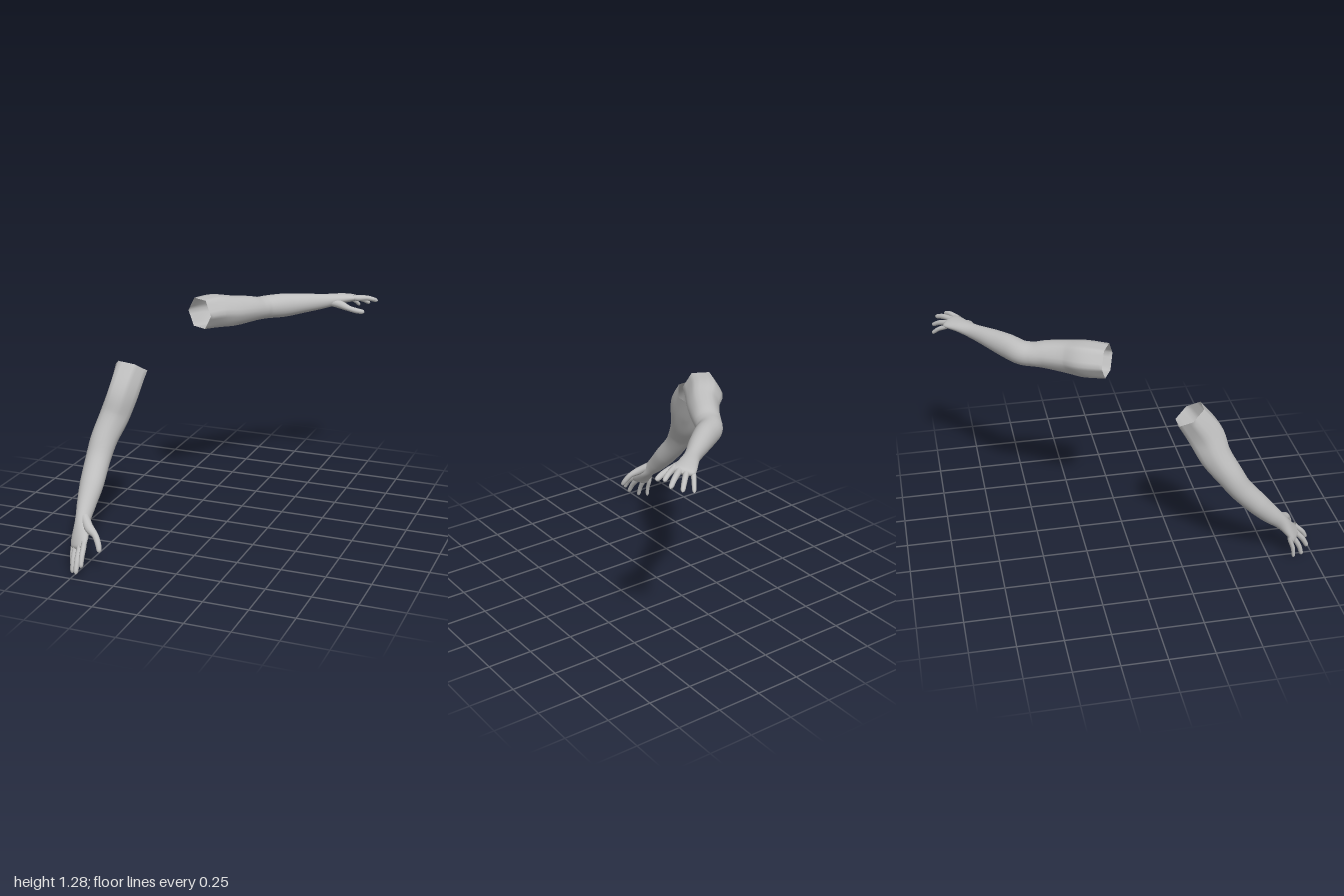
import * as THREE from 'three';

const V = (a) => new THREE.Vector3(a[0], a[1], a[2]);

// Sweeps an elliptical section along stations [x, y, z, halfAcross, halfThick].
// across0 -> across1 is the direction of the section's first axis; the end is rounded over
// the last part of the path; hex > 0 makes the open start six-sided.
function sweep(stations, across0, across1, { rings, sides, cap, hex = 0 }) {
  const path = new THREE.CatmullRomCurve3(stations.map(V));
  const size = new THREE.CatmullRomCurve3(stations.map((s) => new THREE.Vector3(s[3], s[4], 0)));
  const pos = [], index = [];
  for (let i = 0; i <= rings; i++) {
    const s = i / rings;
    const c = path.getPoint(s), r = size.getPoint(s), t = path.getTangent(s);
    const u = V(across0).normalize().lerp(V(across1).normalize(), s * s);
    u.addScaledVector(t, -u.dot(t)).normalize();
    const v = t.clone().cross(u);
    const k = s > 1 - cap ? Math.sqrt(Math.max(0, 1 - ((s - 1 + cap) / cap) ** 2)) : 1;
    const w = hex * Math.max(0, 1 - s * 3);
    for (let j = 0; j < sides; j++) {
      const a = (j / sides) * Math.PI * 2;
      const facet = 1.04 * Math.cos(Math.PI / 6) / Math.cos((a % (Math.PI / 3)) - Math.PI / 6);
      const m = k * (1 + w * (facet - 1));
      const p = c.clone().addScaledVector(u, Math.cos(a) * r.x * m).addScaledVector(v, Math.sin(a) * r.y * m);
      pos.push(p.x, p.y, p.z);
      if (i < rings) {
        const n = (j + 1) % sides, b = i * sides;
        index.push(b + j, b + n, b + sides + n, b + j, b + sides + n, b + sides + j);
      }
    }
  }
  const g = new THREE.BufferGeometry();
  g.setAttribute('position', new THREE.Float32BufferAttribute(pos, 3));
  g.setIndex(index);
  g.computeVertexNormals();
  return g;
}

function buildArm(name, spec, material) {
  const arm = new THREE.Group();
  arm.name = name;
  const add = (part, geometry) => {
    const mesh = new THREE.Mesh(geometry, material);
    mesh.name = part;
    arm.add(mesh);
  };

  // Upper arm, elbow, forearm, wrist and palm in one skin
  add('armAndPalm', sweep(spec.stations, spec.across, spec.knuckles, { rings: 66, sides: 24, cap: 0.06, hex: 1 }));

  // Fingers arch slightly towards the back of the hand
  for (const [part, base, tip, r] of spec.fingers) {
    const mid = V(base).lerp(V(tip), 0.5).addScaledVector(V(spec.back), 0.007);
    const root = V(base).lerp(V(tip), -0.25);
    const st = [
      [...root.toArray(), r, r],
      [...base, r * 1.08, r * 1.08],
      [...mid.toArray(), r, r],
      [...tip, r * 0.8, r * 0.8],
    ];
    add(part, sweep(st, spec.knuckles, spec.knuckles, { rings: 20, sides: 12, cap: 0.1 }));
  }

  // Thumb with a thick root
  add('thumb', sweep(spec.thumb, spec.back, spec.back, { rings: 24, sides: 12, cap: 0.1 }));
  return arm;
}

export function createModel() {
  const skin = new THREE.MeshStandardMaterial({ color: 0xbfbfbf, side: THREE.DoubleSide });
  skin.name = 'plain grey';
  const model = new THREE.Group();
  model.name = 'pairOfArms';

  // Arm stretched out level, palm down
  model.add(buildArm('leftArm', {
    across: [0.87, 0, 0.49], knuckles: [0.1, 0.015, 0.07], back: [0, 1, 0],
    stations: [
      [-0.21, 1.207, -0.118, 0.094, 0.09],
      [-0.157, 1.203, -0.22, 0.1, 0.096],
      [-0.09, 1.19, -0.302, 0.087, 0.09],
      [-0.023, 1.18, -0.413, 0.077, 0.076],
      [0.013, 1.17, -0.485, 0.071, 0.066],
      [0.045, 1.168, -0.54, 0.067, 0.067],
      [0.12, 1.17, -0.598, 0.063, 0.069],
      [0.217, 1.173, -0.675, 0.055, 0.058],
      [0.328, 1.175, -0.768, 0.042, 0.042],
      [0.405, 1.182, -0.835, 0.052, 0.03],
      [0.455, 1.182, -0.876, 0.06, 0.023],
      [0.485, 1.178, -0.9, 0.056, 0.018],
    ],
    fingers: [
      ['indexFinger', [0.508, 1.187, -0.852], [0.602, 1.172, -0.91], 0.014],
      ['middleFinger', [0.492, 1.184, -0.88], [0.602, 1.155, -0.962], 0.015],
      ['ringFinger', [0.464, 1.178, -0.903], [0.548, 1.13, -0.987], 0.014],
      ['littleFinger', [0.432, 1.168, -0.918], [0.483, 1.11, -0.994], 0.012],
    ],
    thumb: [
      [0.35, 1.172, -0.775, 0.025, 0.025],
      [0.415, 1.158, -0.785, 0.024, 0.026],
      [0.475, 1.142, -0.772, 0.017, 0.018],
      [0.525, 1.13, -0.778, 0.016, 0.016],
      [0.566, 1.122, -0.795, 0.012, 0.013],
    ],
  }, skin));

  // Arm hanging forwards and down
  model.add(buildArm('rightArm', {
    across: [1, 0, 0], knuckles: [0.1, 0.02, 0.06], back: [0, 0.53, 0.85],
    stations: [
      [-0.455, 0.976, 0.277, 0.094, 0.09],
      [-0.47, 0.845, 0.365, 0.086, 0.104],
      [-0.5, 0.733, 0.413, 0.083, 0.09],
      [-0.53, 0.62, 0.488, 0.074, 0.075],
      [-0.539, 0.528, 0.55, 0.069, 0.066],
      [-0.533, 0.415, 0.65, 0.066, 0.062],
      [-0.527, 0.325, 0.735, 0.051, 0.053],
      [-0.518, 0.262, 0.8, 0.041, 0.042],
      [-0.508, 0.205, 0.85, 0.054, 0.03],
      [-0.505, 0.165, 0.88, 0.06, 0.023],
      [-0.504, 0.135, 0.9, 0.055, 0.018],
    ],
    fingers: [
      ['indexFinger', [-0.458, 0.165, 0.918], [-0.443, 0.075, 0.985], 0.014],
      ['middleFinger', [-0.487, 0.148, 0.908], [-0.475, 0.033, 0.986], 0.015],
      ['ringFinger', [-0.523, 0.14, 0.885], [-0.52, 0.013, 0.94], 0.014],
      ['littleFinger', [-0.55, 0.145, 0.855], [-0.55, 0.024, 0.882], 0.012],
    ],
    thumb: [
      [-0.505, 0.285, 0.8, 0.025, 0.025],
      [-0.458, 0.245, 0.845, 0.024, 0.026],
      [-0.413, 0.22, 0.868, 0.017, 0.018],
      [-0.385, 0.18, 0.89, 0.016, 0.016],
      [-0.371, 0.142, 0.908, 0.012, 0.013],
    ],
  }, skin));
  return model;
}
